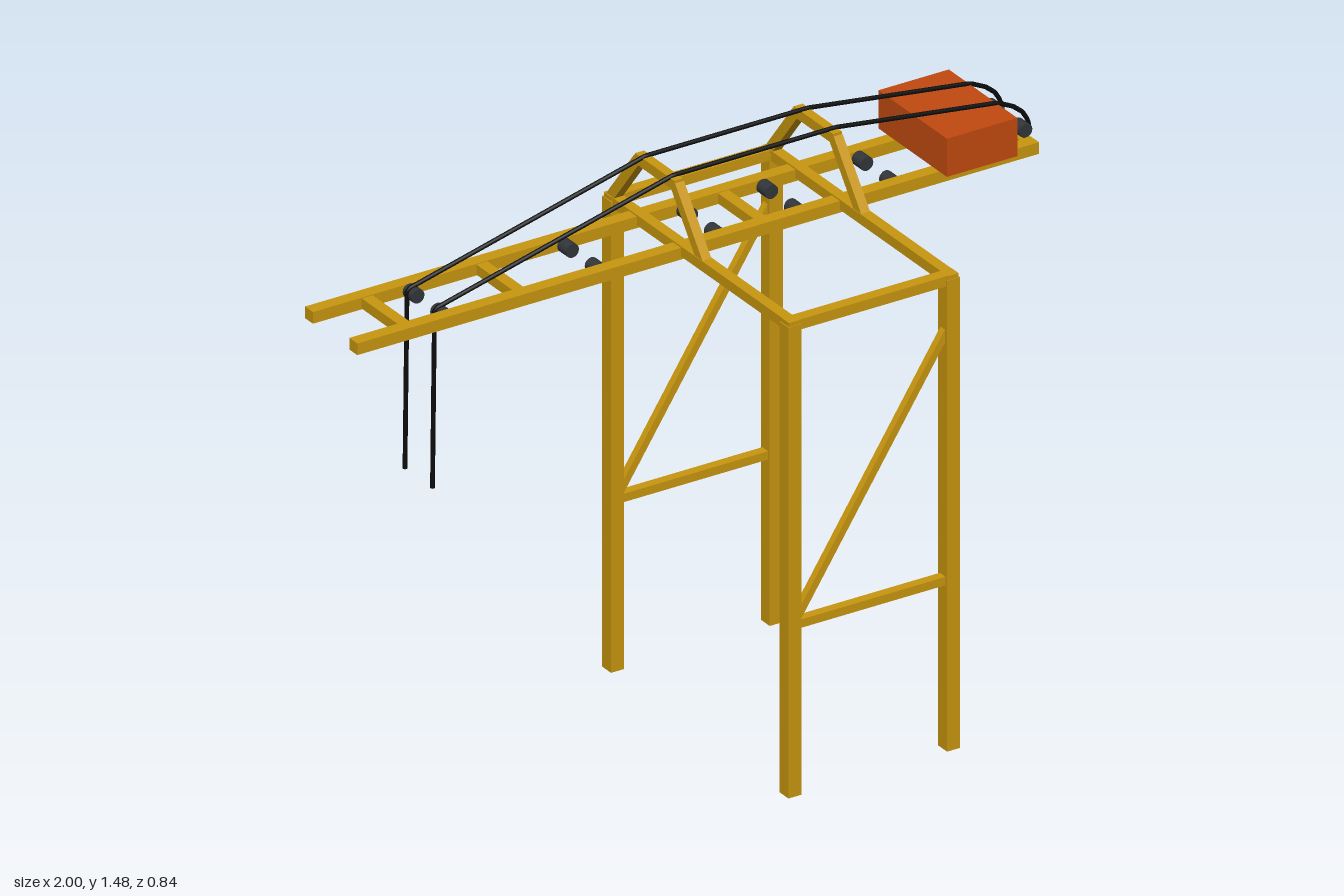
import * as THREE from 'three';

const yellow = new THREE.MeshStandardMaterial({ color: 0xc8960f });
const orange = new THREE.MeshStandardMaterial({ color: 0xc24a10 });
const dark = new THREE.MeshStandardMaterial({ color: 0x33363a });
const black = new THREE.MeshStandardMaterial({ color: 0x0c0c0c });

export function createModel() {
  const root = new THREE.Group();

  const group = (name) => {
    const g = new THREE.Group();
    g.name = name;
    root.add(g);
    return g;
  };

  // Box given by its limits on each axis
  const box = (parent, name, [x0, x1], [y0, y1], [z0, z1], mat = yellow) => {
    const m = new THREE.Mesh(new THREE.BoxGeometry(x1 - x0, y1 - y0, z1 - z0), mat);
    m.position.set((x0 + x1) / 2, (y0 + y1) / 2, (z0 + z1) / 2);
    m.name = name;
    parent.add(m);
  };

  // Square bar between two points
  const bar = (parent, name, a, b, w, h) => {
    const p = new THREE.Vector3(...a), q = new THREE.Vector3(...b);
    const m = new THREE.Mesh(new THREE.BoxGeometry(w, h, p.distanceTo(q)), yellow);
    m.position.copy(p).add(q).multiplyScalar(0.5);
    m.lookAt(q);
    m.name = name;
    parent.add(m);
  };

  const legX = [-0.042, 0.42];

  // Portal frame: legs, side bracing and top rectangle
  const portal = group('portalFrame');
  for (const z of [-0.4, 0.4]) {
    for (const x of legX) {
      box(portal, 'leg', [x - 0.019, x + 0.019], [0, 1.295], [z - 0.02, z + 0.02]);
    }
    box(portal, 'sideRail', [-0.03, 0.41], [0.455, 0.478], [z - 0.013, z + 0.013]);
    bar(portal, 'diagonalBrace', [-0.035, 0.47, z], [0.415, 1.16, z], 0.02, 0.02);
    box(portal, 'topRail', [-0.058, 0.436], [1.278, 1.306], [z - 0.016, z + 0.016]);
  }
  for (const x of legX) {
    box(portal, 'topCrossBeam', [x - 0.015, x + 0.015], [1.278, 1.306], [-0.418, 0.418]);
  }

  // Cable trestles standing over the boom
  const trestles = group('trestles');
  for (const x of legX) {
    bar(trestles, 'trestleStrut', [x, 1.292, 0.016], [x, 1.457, -0.112], 0.026, 0.028);
    bar(trestles, 'trestleStrut', [x, 1.292, -0.404], [x, 1.457, -0.274], 0.026, 0.028);
    box(trestles, 'trestleCap', [x - 0.013, x + 0.013], [1.443, 1.471], [-0.281, -0.104]);
  }

  // Ladder-like boom
  const boom = group('boom');
  for (const z of [-0.288, -0.088]) {
    box(boom, 'boomBeam', [-1, 0.985], [1.27, 1.302], [z - 0.018, z + 0.018]);
  }
  for (const x of [-0.842, -0.508, 0.195, 0.97]) {
    box(boom, 'boomRung', [x - 0.016, x + 0.016], [1.272, 1.3], [-0.288, -0.088]);
  }

  // Winch housing
  box(root, 'winchHousing', [0.695, 0.9], [1.302, 1.407], [-0.345, -0.036], orange);

  // Pulleys and hoist ropes
  const pulleys = group('pulleys');
  const ropes = group('ropes');
  const pulleyGeo = new THREE.CylinderGeometry(0.019, 0.019, 0.04, 16).rotateX(Math.PI / 2);
  const ropePoints = [
    [-0.745, 0.81], [-0.739, 1.3], [-0.045, 1.474], [0.43, 1.474], [0.9, 1.41],
    [0.945, 1.388], [0.972, 1.366], [0.988, 1.34], [0.992, 1.322], [0.984, 1.302],
  ];
  for (const z of [-0.25, -0.126]) {
    for (const x of [-0.72, -0.27, 0.077, 0.31, 0.587, 0.97]) {
      const m = new THREE.Mesh(pulleyGeo, dark);
      m.position.set(x, x > 0.9 ? 1.322 : 1.284, z);
      m.name = 'pulley';
      pulleys.add(m);
    }
    const path = new THREE.CurvePath();
    const pts = ropePoints.map(([x, y]) => new THREE.Vector3(x, y, z));
    for (let i = 1; i < pts.length; i++) {
      path.add(new THREE.LineCurve3(pts[i - 1], pts[i]));
    }
    const rope = new THREE.Mesh(new THREE.TubeGeometry(path, 200, 0.006, 8), black);
    rope.name = 'hoistRope';
    ropes.add(rope);
  }

  return root;
}
